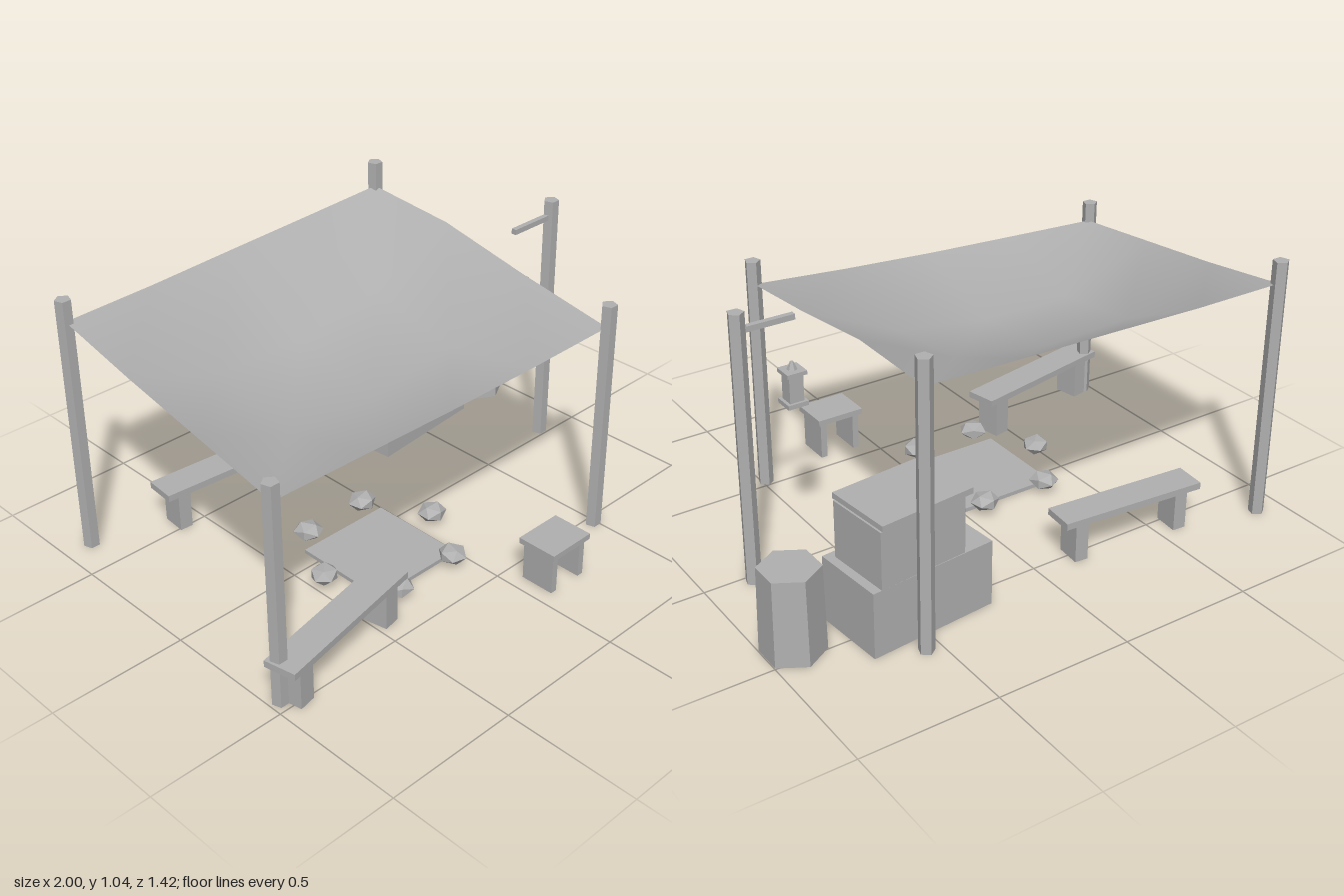
import * as THREE from 'three';

export function createModel() {
  const root = new THREE.Group();
  root.name = 'campShelter';
  const grey = new THREE.MeshStandardMaterial({ color: 0xb0b0b0 });
  grey.name = 'plainGrey';
  const greyFlat = grey.clone();
  greyFlat.name = 'plainGreyFaceted';
  greyFlat.flatShading = true;
  const greyCloth = grey.clone();
  greyCloth.name = 'plainGreyCloth';
  greyCloth.side = THREE.DoubleSide;

  const add = (parent, name, geo, x, y, z, mat = greyFlat) => {
    const m = new THREE.Mesh(geo, mat);
    m.name = name;
    m.position.set(x, y, z);
    parent.add(m);
    return m;
  };
  const box = (parent, name, w, h, d, x, y, z) =>
    add(parent, name, new THREE.BoxGeometry(w, h, d), x, y, z);
  const group = (name, x, z, turn = 0) => {
    const g = new THREE.Group();
    g.name = name;
    g.position.set(x, 0, z);
    g.rotation.y = turn;
    root.add(g);
    return g;
  };

  // Five-sided poles: four for the canopy, one for the lantern
  const pole = (name, x, z, h) => {
    const m = add(root, name, new THREE.CylinderGeometry(0.029, 0.029, h, 5), x, h / 2, z);
    m.rotation.y = Math.PI;
  };
  pole('backRightPole', -0.893, -0.65, 0.985);
  pole('backLeftPole', 0.555, -0.68, 1.04);
  pole('frontLeftPole', 0.487, 0.528, 0.898);
  pole('frontRightPole', -0.962, 0.458, 0.83);
  pole('lanternPole', 0.83, -0.03, 1.0);

  // Sagging canopy: rows of heights run from back to front
  const heights = [
    [0.9, 0.905, 0.917, 0.928, 0.94],
    [0.845, 0.715, 0.707, 0.764, 0.924],
    [0.8, 0.655, 0.65, 0.7, 0.86],
    [0.755, 0.763, 0.772, 0.787, 0.808],
  ];
  const cloth = new THREE.PlaneGeometry(1, 1, 4, 3);
  const p = cloth.attributes.position;
  const mix = THREE.MathUtils.lerp;
  for (let j = 0; j < 4; j++) {
    for (let i = 0; i < 5; i++) {
      const u = i / 4, v = j / 3;
      p.setXYZ(j * 5 + i,
        mix(mix(-0.893, 0.555, u), mix(-0.955, 0.487, u), v),
        heights[j][i],
        mix(mix(-0.65, -0.68, u), mix(0.455, 0.525, u), v));
    }
  }
  cloth.computeVertexNormals();
  add(root, 'canopy', cloth, 0, 0, 0, greyCloth);

  // Benches and stool: a plank on two legs
  const bench = (name, x, z, turn, len, wide, top, thick, legW, legD, legX) => {
    const g = group(name, x, z, turn);
    box(g, 'seat', len, thick, wide, 0, top - thick / 2, 0);
    for (const s of [-1, 1]) {
      box(g, 'leg', legW, top - thick, legD, s * legX, (top - thick) / 2, 0);
    }
  };
  bench('sideBench', -0.685, 0.43, 0.2, 0.62, 0.12, 0.175, 0.025, 0.065, 0.095, 0.235);
  bench('backBench', -0.378, -0.52, -0.08, 0.56, 0.12, 0.175, 0.025, 0.05, 0.095, 0.208);
  bench('stool', 0.142, 0.63, 0, 0.19, 0.155, 0.168, 0.022, 0.025, 0.13, 0.07);

  // Hearth slab ringed by six stones
  box(root, 'hearthSlab', 0.375, 0.015, 0.375, -0.2, 0.0075, 0.118);
  for (let i = 0; i < 6; i++) {
    const a = i * Math.PI / 3;
    const stone = add(root, 'hearthStone', new THREE.IcosahedronGeometry(1, 0),
      -0.2 + 0.265 * Math.cos(a), 0.052, 0.118 + 0.265 * Math.sin(a));
    stone.scale.set(0.056, 0.034, 0.052);
    stone.rotation.y = i * 1.3;
  }

  // Stacked crates
  const big = group('largeCrate', 0.488, -0.47, 0.09);
  box(big, 'crateBody', 0.48, 0.245, 0.275, 0, 0.1225, 0);
  const small = group('smallCrate', 0.527, -0.487, 0.1);
  box(small, 'crateBody', 0.335, 0.21, 0.245, 0, 0.35, 0);
  const lid = group('smallCrateLid', 0.508, -0.478, 0.1);
  box(lid, 'lid', 0.36, 0.022, 0.26, 0, 0.464, 0);

  // Six-sided barrel
  add(root, 'barrel', new THREE.CylinderGeometry(0.104, 0.11, 0.315, 6), 0.902, 0.1575, -0.44);

  // Lantern and its arm
  box(root, 'lanternArm', 0.2, 0.02, 0.02, 0.727, 0.936, -0.03);
  const lantern = group('lantern', 0.642, -0.028);
  box(lantern, 'base', 0.075, 0.016, 0.072, 0, 0.631, 0);
  box(lantern, 'body', 0.052, 0.1, 0.052, 0, 0.687, 0);
  box(lantern, 'cap', 0.072, 0.014, 0.072, 0, 0.742, 0);
  add(lantern, 'finial', new THREE.CylinderGeometry(0.006, 0.018, 0.028, 6), 0, 0.763, 0);

  return root;
}
